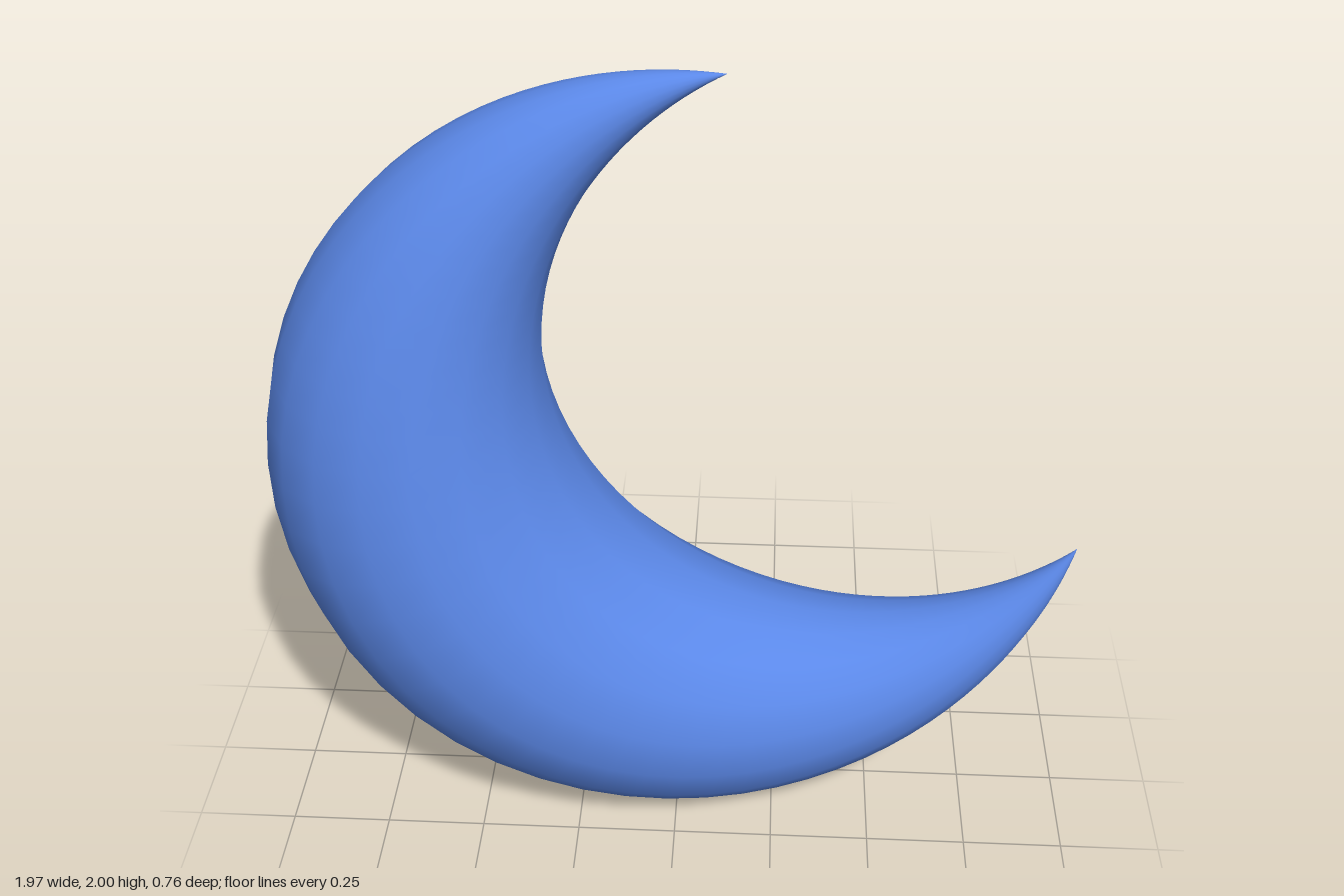
import * as THREE from 'three';

const SEGMENTS = 64; // sections from tip to tip
const SIDES = 18;    // points round each section

// Crescent horn: circular sections spanning two arcs that share both tips.
function crescentGeometry(tipA, tipB, outerDepth, innerDepth) {
  const mid = tipA.clone().add(tipB).multiplyScalar(0.5);
  const half = tipA.distanceTo(tipB) / 2;
  const along = tipB.clone().sub(tipA).normalize();
  const deep = new THREE.Vector2(along.y, -along.x); // from the opening towards the belly

  // Point on the arc through both tips with the given depth, w from -1 to 1.
  // Equal w on both arcs gives sections square to the crescent.
  const arcPoint = (depth, w) => {
    const sigma = 2 * Math.atan2(half, depth);
    const p = 1 + w, q = 1 - w;
    const d = p * p + q * q - 2 * p * q * Math.cos(sigma);
    return mid.clone()
      .addScaledVector(along, half * (p * p - q * q) / d)
      .addScaledVector(deep, half * 2 * p * q * Math.sin(sigma) / d);
  };

  const positions = [], indices = [];
  for (let i = 0; i <= SEGMENTS; i++) {
    const w = -1 + 2 * i / SEGMENTS;
    const outer = arcPoint(outerDepth, w), inner = arcPoint(innerDepth, w);
    const radius = outer.distanceTo(inner) / 2;
    for (let j = 0; j < SIDES; j++) {
      const a = 2 * Math.PI * j / SIDES;
      const point = inner.clone().lerp(outer, 0.5 + 0.5 * Math.cos(a));
      positions.push(point.x, point.y, radius * Math.sin(a));
      if (i === SEGMENTS) continue;
      const k = (j + 1) % SIDES, r0 = i * SIDES, r1 = r0 + SIDES;
      if (i > 0) indices.push(r0 + j, r1 + j, r0 + k);
      if (i < SEGMENTS - 1) indices.push(r1 + j, r1 + k, r0 + k);
    }
  }
  const geometry = new THREE.BufferGeometry();
  geometry.setAttribute('position', new THREE.Float32BufferAttribute(positions, 3));
  geometry.setIndex(indices);
  geometry.computeVertexNormals();
  return geometry;
}

export function createModel() {
  const group = new THREE.Group();
  group.name = 'crescentMoon';
  const blue = new THREE.MeshStandardMaterial({ color: 0x5b88e8 });
  const upperTip = new THREE.Vector2(0.1, 2.0);
  const lowerTip = new THREE.Vector2(0.98, 0.78);
  const moon = new THREE.Mesh(crescentGeometry(upperTip, lowerTip, 1.658, 0.885), blue);
  moon.name = 'crescent';
  group.add(moon);
  return group;
}
